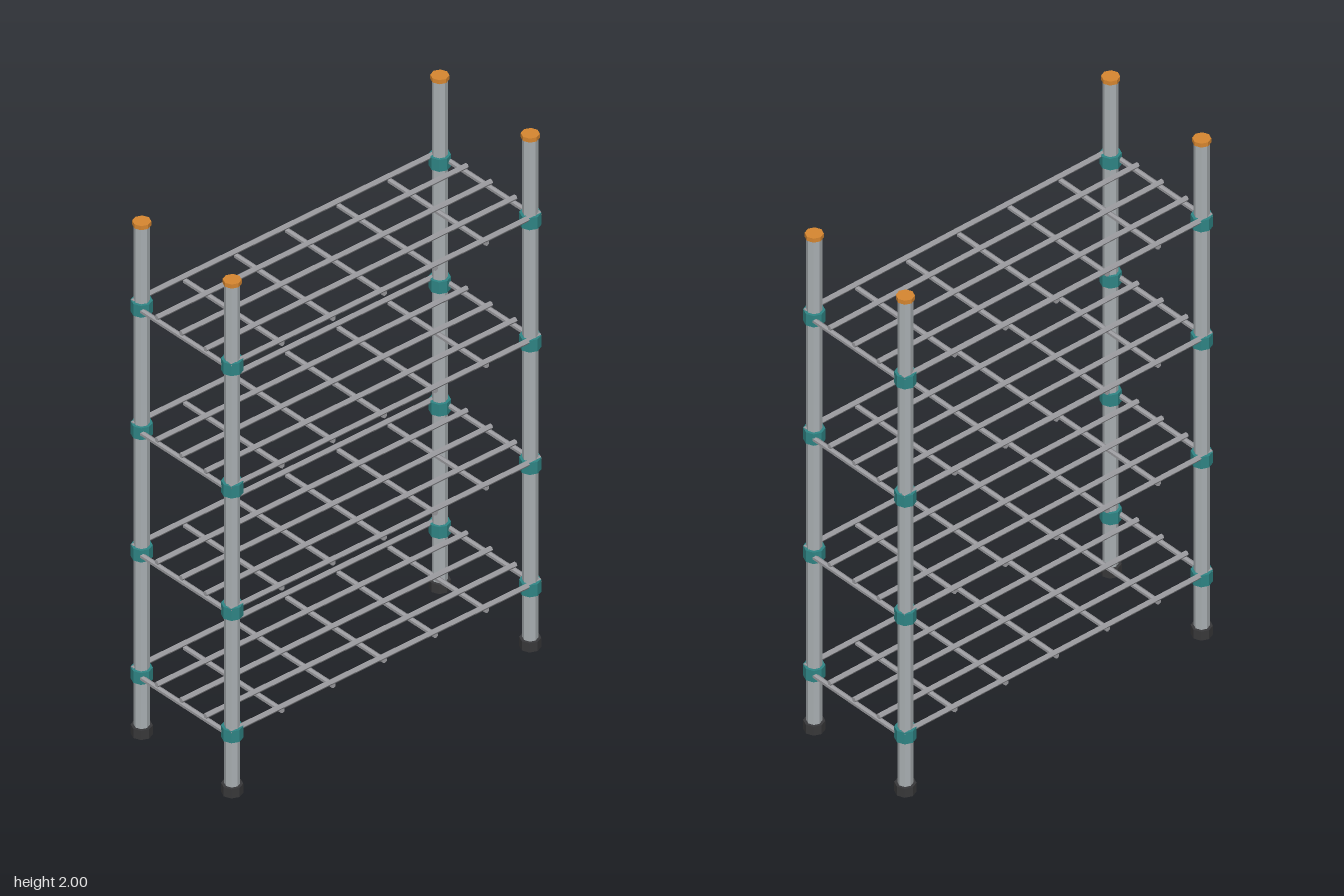
import * as THREE from 'three';

const paint = (name, color) => {
  const m = new THREE.MeshStandardMaterial({ color, flatShading: true });
  m.name = name;
  return m;
};

export function createModel() {
  const rack = new THREE.Group();
  rack.name = 'shelvingRack';

  const postGrey = paint('postGrey', 0xa9afb2);
  const wireGrey = paint('wireGrey', 0x9c9ca0);
  const teal = paint('collarTeal', 0x2f8585);
  const orange = paint('capOrange', 0xd68630);
  const rubber = paint('footRubber', 0x38383a);

  const add = (parent, name, geometry, material, x, y, z) => {
    const mesh = new THREE.Mesh(geometry, material);
    mesh.name = name;
    mesh.position.set(x, y, z);
    parent.add(mesh);
  };

  const postX = 0.637, postZ = 0.222;
  const levels = [0, 1, 2, 3].map(i => 0.238 + i * 0.477);

  const postGeo = new THREE.CylinderGeometry(0.026, 0.026, 1.97, 8);
  const footGeo = new THREE.CylinderGeometry(0.036, 0.036, 0.036, 8);
  const capGeo = new THREE.CylinderGeometry(0.031, 0.031, 0.016, 8);
  const collarGeo = new THREE.CylinderGeometry(0.036, 0.036, 0.046, 8);

  // Corner posts with foot, cap and a collar at every shelf
  for (const sx of [-1, 1]) for (const sz of [-1, 1]) {
    const corner = new THREE.Group();
    corner.name = (sz > 0 ? 'front' : 'back') + (sx > 0 ? 'Left' : 'Right') + 'Post';
    corner.position.set(sx * postX, 0, sz * postZ);
    add(corner, 'tube', postGeo, postGrey, 0, 1.005, 0);
    add(corner, 'foot', footGeo, rubber, 0, 0.018, 0);
    add(corner, 'cap', capGeo, orange, 0, 1.992, 0);
    for (const y of levels) add(corner, 'collar', collarGeo, teal, 0, y, 0);
    rack.add(corner);
  }

  // Wire shelves: long rods resting on cross rods
  const longGeo = new THREE.CylinderGeometry(0.0095, 0.0095, 1.326, 6).rotateZ(Math.PI / 2);
  const crossGeo = new THREE.CylinderGeometry(0.0095, 0.0095, 0.48, 6).rotateX(Math.PI / 2);
  levels.forEach((y, n) => {
    const shelf = new THREE.Group();
    shelf.name = 'shelf' + (n + 1);
    shelf.position.y = y;
    for (let i = -2; i <= 2; i++) add(shelf, 'longRod', longGeo, wireGrey, 0, 0.018, i * 0.1195);
    for (let i = -3; i <= 3; i++) add(shelf, 'crossRod', crossGeo, wireGrey, i * 0.2185, 0, 0);
    rack.add(shelf);
  });

  return rack;
}
